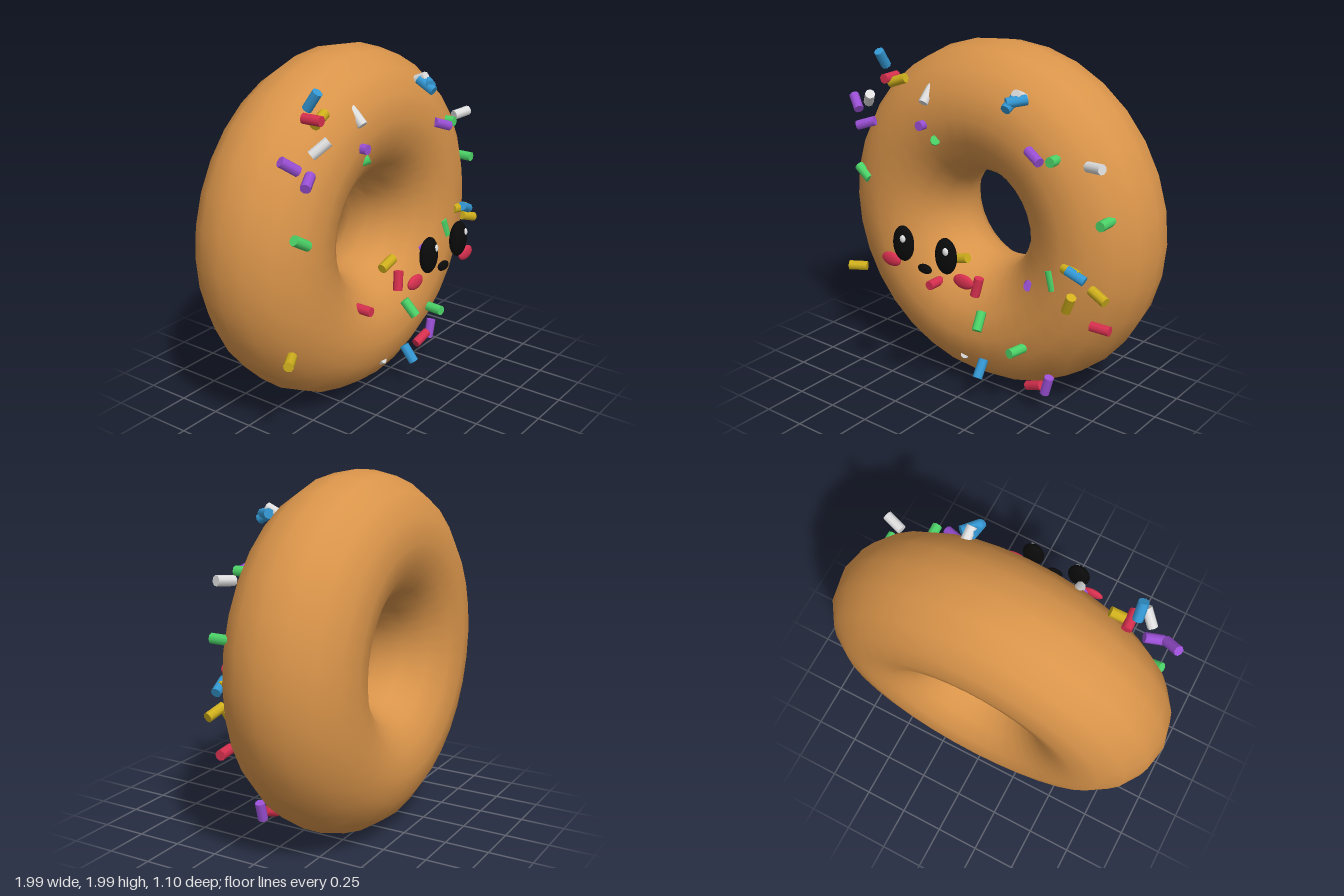
import * as THREE from 'three';

const mat = (name, color) => {
  const m = new THREE.MeshStandardMaterial({ color });
  m.name = name;
  return m;
};

export function createModel() {
  const root = new THREE.Group();
  root.name = 'donut';
  const M = {
    dough: mat('dough', 0xd9944a),
    black: mat('black', 0x0a0a0a),
    white: mat('white', 0xe0e0e0),
    red: mat('red', 0xd8304f),
    yellow: mat('yellow', 0xd0b01c),
    green: mat('green', 0x4cd468),
    blue: mat('blue', 0x3498d4),
    purple: mat('purple', 0x9b50d6),
  };
  const add = (parent, name, geometry, material, x, y, z) => {
    const mesh = new THREE.Mesh(geometry, material);
    mesh.name = name;
    mesh.position.set(x, y, z);
    parent.add(mesh);
    return mesh;
  };

  // Ring of dough
  add(root, 'doughRing', new THREE.TorusGeometry(0.63, 0.365, 16, 32), M.dough, 0, 1.005, -0.185);

  // Face floating in front of the hole
  const face = new THREE.Group();
  face.name = 'face';
  root.add(face);
  const ball = new THREE.SphereGeometry(1, 20, 14);
  const blob = (name, m, x, y, z, rx, ry, rz) => add(face, name, ball, m, x, y, z).scale.set(rx, ry, rz);
  for (const [side, s] of [['left', 1], ['right', -1]]) {
    blob(side + 'Eye', M.black, s * 0.145, 1.005, 0.507, 0.066, 0.099, 0.04);
    blob(side + 'EyeHighlight', M.white, s * 0.145 + 0.02, 1.042, 0.534, 0.019, 0.023, 0.014);
    blob(side + 'Cheek', M.red, s * 0.248, 0.885, 0.493, 0.065, 0.039, 0.02);
  }
  blob('mouth', M.black, 0, 0.896, 0.507, 0.046, 0.026, 0.019);

  // Sprinkles: colour, centre, direction of the axis
  const sprinkles = new THREE.Group();
  sprinkles.name = 'sprinkles';
  root.add(sprinkles);
  const stick = new THREE.CylinderGeometry(0.028, 0.028, 0.11, 8);
  const up = new THREE.Vector3(0, 1, 0);
  const put = (color, p, d) => {
    const mesh = add(sprinkles, color + 'Sprinkle', stick, M[color], ...p);
    mesh.quaternion.setFromUnitVectors(up, new THREE.Vector3(...d).normalize());
  };
  // Upper right side of the ring
  put('blue', [-0.61, 1.865, 0.125], [0.05, 0.8, 0.55]);
  put('red', [-0.58, 1.76, 0.1], [0.05, 0, 1]);
  put('yellow', [-0.525, 1.75, 0.1], [0.95, 0.35, -0.15]);
  put('white', [-0.65, 1.65, 0.2], [0.6, 0.6, 0.5]);
  put('purple', [-0.81, 1.59, 0.14], [0.7, -0.55, 0.4]);
  put('purple', [-0.71, 1.49, 0.17], [0.85, 0.3, -0.4]);
  put('white', [-0.275, 1.715, 0.14], [0, 0.7, -0.7]);
  put('purple', [-0.28, 1.555, 0.16], [0, 0, 1]);
  put('green', [-0.235, 1.46, 0.13], [0.6, 0.4, 0.7]);
  put('green', [-0.755, 1.185, 0.155], [0.8, -0.5, 0.1]);
  // Lower right side and bottom
  put('yellow', [-0.848, 0.57, 0.145], [0.85, 0, -0.5]);
  put('red', [-0.235, 0.625, 0.15], [0, 0, 1]);
  put('red', [0.078, 0.69, 0.165], [0.2, 0.95, -0.1]);
  put('yellow', [-0.035, 0.835, 0.17], [0.95, 0.25, 0]);
  put('green', [0.13, 0.515, 0.213], [-0.15, 0.75, -0.6]);
  put('green', [0.385, 0.415, 0.215], [-0.15, 0.03, 1]);
  put('blue', [0.135, 0.22, 0.208], [-0.05, 0.8, -0.6]);
  put('white', [-0.035, 0.21, 0.095], [0.1, 0.4, 0.8]);
  put('red', [0.43, 0.168, 0.1], [0.9, 0.35, 0.1]);
  put('purple', [0.515, 0.2, 0.105], [0.25, 0.95, 0]);
  // Left side
  put('red', [0.835, 0.64, 0.1], [1, -0.03, -0.1]);
  put('yellow', [0.685, 0.765, 0.175], [0.4, 0.85, 0.2]);
  put('yellow', [0.845, 0.845, 0.15], [0.9, -0.3, 0.2]);
  put('purple', [0.39, 0.775, 0.105], [0.4, 0.1, 0.8]);
  put('green', [0.565, 0.86, 0.155], [-0.3, 0.9, -0.08]);
  put('blue', [0.735, 0.945, 0.197], [0.9, -0.4, -0.15]);
  put('yellow', [0.695, 0.95, 0.178], [1, -0.1, 0.2]);
  put('green', [0.845, 1.225, 0.105], [0, 0, 1]);
  put('white', [0.778, 1.505, 0.12], [0.95, 0.12, 0.3]);
  put('green', [0.565, 1.513, 0.15], [0.05, 0, 1]);
  put('purple', [0.46, 1.52, 0.19], [0.9, -0.35, 0.35]);
  // Cluster near the top
  put('blue', [0.308, 1.77, 0.178], [0, 0.45, -0.85]);
  put('blue', [0.335, 1.78, 0.17], [0.6, 0.1, -0.75]);
  put('white', [0.325, 1.79, 0.115], [0, 0.4, 0.9]);
  return root;
}
